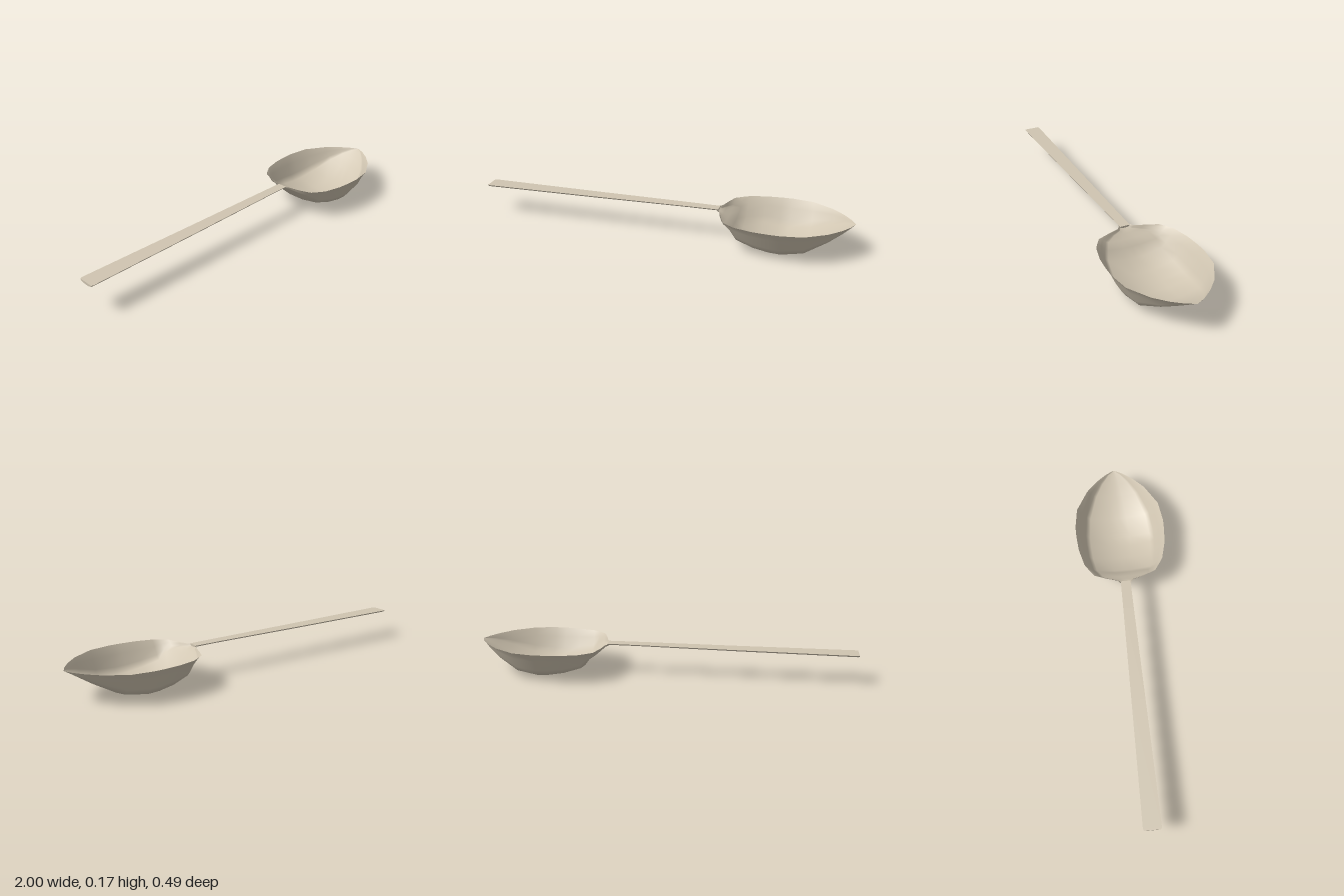
import * as THREE from 'three';

// Skins a list of cross-sections (arrays of [x, y, z]); closed loops get end caps.
function loft(sections, closed) {
  const n = sections[0].length, last = sections.length - 1, index = [];
  for (let i = 0; i < last; i++) {
    for (let j = 0; j < (closed ? n : n - 1); j++) {
      const a = i * n + j, b = i * n + (j + 1) % n;
      index.push(a, b, a + n, b, b + n, a + n);
    }
  }
  if (closed) {
    for (let j = 1; j < n - 1; j++) {
      index.push(0, j + 1, j, last * n, last * n + j, last * n + j + 1);
    }
  }
  const g = new THREE.BufferGeometry();
  g.setAttribute('position', new THREE.Float32BufferAttribute(sections.flat(2), 3));
  g.setIndex(index);
  return g;
}

export function createModel() {
  const metal = new THREE.MeshStandardMaterial({ color: 0xd0c5b1, side: THREE.DoubleSide });
  metal.name = 'warm metal';
  const model = new THREE.Group();
  model.name = 'spoon';

  // Bowl: thin open shell, stations are [x, half width, rim y, bottom y]
  const stations = [
    [0.3, 0.028, 0.164, 0.155], [0.32, 0.045, 0.162, 0.147], [0.335, 0.1, 0.16, 0.138],
    [0.36, 0.165, 0.16, 0.12], [0.395, 0.19, 0.16, 0.095], [0.43, 0.212, 0.16, 0.048],
    [0.52, 0.235, 0.16, 0.018], [0.6, 0.242, 0.16, 0.003], [0.66, 0.243, 0.16, 0],
    [0.77, 0.226, 0.16, 0.02], [0.88, 0.16, 0.16, 0.083], [0.94, 0.1, 0.16, 0.122],
    [0.98, 0.045, 0.16, 0.148], [1, 0.003, 0.16, 0.159],
  ];
  // Half of the cross-section, rim to bottom: [width fraction, depth fraction]
  const half = [[1, 0], [0.885, 0.28], [0.785, 0.64], [0.69, 0.84], [0.23, 1]];
  const profile = [
    ...half.map(([w, d]) => [-w, d]),
    [0, 1],
    ...half.map(([w, d]) => [w, d]).reverse(),
  ];
  const bowlGeometry = loft(stations.map(([x, w, rim, low]) =>
    profile.map(([p, d]) => [x, rim - d * (rim - low), p * w])), false);
  bowlGeometry.computeVertexNormals();
  const bowl = new THREE.Mesh(bowlGeometry, metal);
  bowl.name = 'bowl';
  model.add(bowl);

  // Handle: flat top and faceted belly, stations are [x, half width, top y, thickness]
  const bar = [
    [-1, 0.042, 0.16, 0.013], [-0.99, 0.046, 0.16, 0.013], [-0.35, 0.036, 0.162, 0.012],
    [0.15, 0.028, 0.165, 0.01], [0.31, 0.026, 0.165, 0.01],
  ];
  const loop = [[-1, 0], [1, 0], [0.88, 0.6], [0.5, 1], [-0.5, 1], [-0.88, 0.6]];
  const handleGeometry = loft(bar.map(([x, w, top, t]) =>
    loop.map(([p, d]) => [x, top - d * t, p * w])), true).toNonIndexed();
  handleGeometry.computeVertexNormals();
  const handle = new THREE.Mesh(handleGeometry, metal);
  handle.name = 'handle';
  model.add(handle);

  return model;
}
